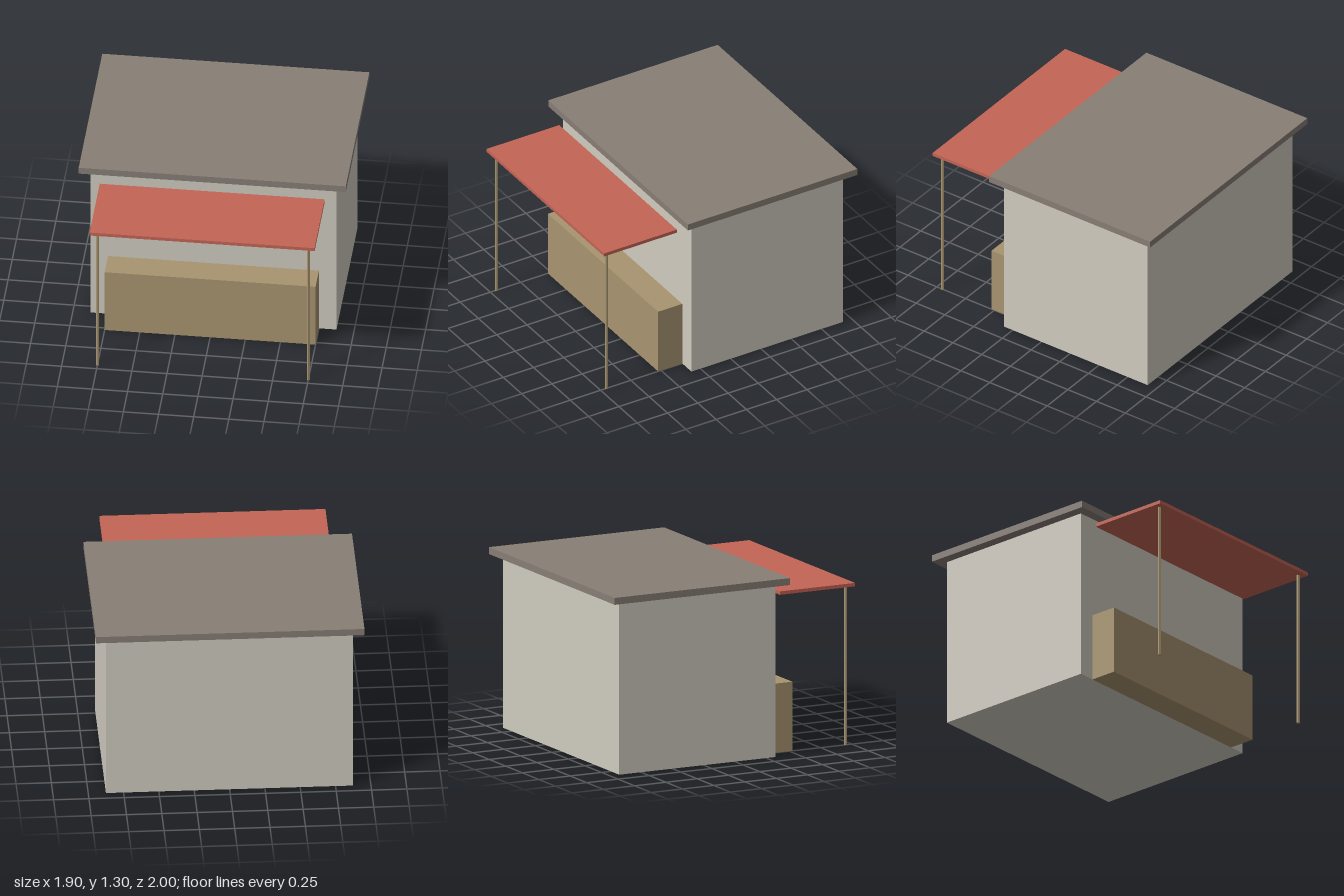
import * as THREE from 'three';

const paint = (color) => new THREE.MeshStandardMaterial({ color, flatShading: true });

// Box given by its min and max corners
function block(name, [x0, y0, z0], [x1, y1, z1], material) {
  const mesh = new THREE.Mesh(new THREE.BoxGeometry(x1 - x0, y1 - y0, z1 - z0), material);
  mesh.position.set((x0 + x1) / 2, (y0 + y1) / 2, (z0 + z1) / 2);
  mesh.name = name;
  return mesh;
}

export function createModel() {
  const group = new THREE.Group();
  group.name = 'marketStall';

  const wood = paint(0xa89470);

  group.add(
    // Main building and its overhanging flat roof
    block('building', [-0.875, 0, -0.925], [0.875, 1.25, 0.325], paint(0xd0ccc0)),
    block('roof', [-0.95, 1.25, -1], [0.95, 1.3, 0.4], paint(0x887e76)),
    // Serving counter against the front wall
    block('counter', [-0.75, 0, 0.325], [0.75, 0.5, 0.525], wood),
    // Awning in front of the roof edge
    block('awning', [-0.8, 1.15, 0.4], [0.8, 1.175, 1], paint(0xc46455))
  );

  // Slim posts under the awning's front corners
  const postGeometry = new THREE.CylinderGeometry(0.0125, 0.0125, 1.15, 6);
  for (const [side, x] of [['left', 0.75], ['right', -0.75]]) {
    const post = new THREE.Mesh(postGeometry, wood);
    post.position.set(x, 0.575, 0.95);
    post.name = `${side}AwningPost`;
    group.add(post);
  }

  return group;
}
